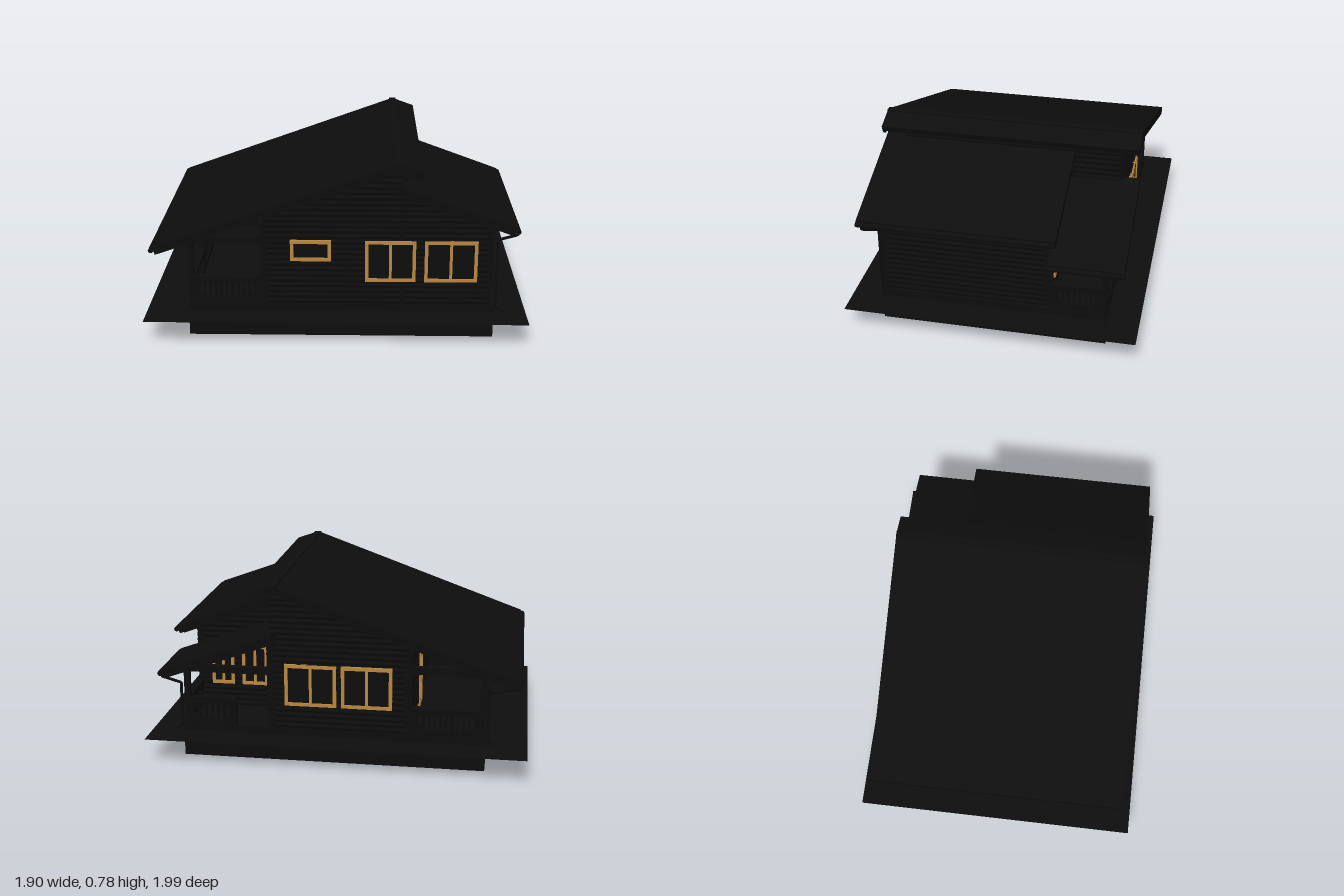
import * as THREE from 'three';

const dark = new THREE.MeshStandardMaterial({ color: 0x0d0d0d });
const ground = new THREE.MeshStandardMaterial({ color: 0x0d0d0d, side: THREE.DoubleSide });
const wood = new THREE.MeshStandardMaterial({ color: 0xb8863f });

const DECK = 0.145;

function add(parent, name, geo, mat, x = 0, y = 0, z = 0) {
  const m = new THREE.Mesh(geo, mat);
  m.name = name;
  m.position.set(x, y, z);
  parent.add(m);
  return m;
}
function box(parent, name, w, h, d, x, y, z, mat = dark) {
  return add(parent, name, new THREE.BoxGeometry(w, h, d), mat, x, y, z);
}

// A vertical plane to draw on: facing 'x' means it lies at x = pos and its local x runs along z
function plane(parent, name, facing, pos) {
  const g = new THREE.Group();
  g.name = name;
  if (facing === 'x') { g.position.x = pos; g.rotation.y = -Math.PI / 2; } else g.position.z = pos;
  parent.add(g);
  return g;
}

// Range of a convex-ish outline at height y
function span(poly, y) {
  const hits = [];
  poly.forEach(([a, ya], i) => {
    const [b, yb] = poly[(i + 1) % poly.length];
    if ((ya - y) * (yb - y) < 0) hits.push(a + (b - a) * (y - ya) / (yb - ya));
  });
  return [Math.min(...hits), Math.max(...hits)];
}

// Log wall: thin core plus stacked round courses with crossing ends
function logWall(parent, name, facing, pos, poly) {
  const g = plane(parent, name, facing, pos);
  const core = new THREE.ExtrudeGeometry(new THREE.Shape(poly.map(p => new THREE.Vector2(...p))), { depth: 0.018, bevelEnabled: false });
  add(g, 'wallCore', core, dark, 0, 0, -0.009);
  const top = Math.max(...poly.map(p => p[1])), pitch = 0.024;
  for (let y = DECK + pitch / 2; y < top - 0.008; y += pitch) {
    const [a, b] = span(poly, y);
    const end = y < 0.5 ? 0.014 : 0;
    if (b - a < 0.03) continue;
    const log = add(g, 'log', new THREE.CylinderGeometry(0.0135, 0.0135, b - a + 2 * end, 8), dark, (a + b) / 2, y, 0);
    log.rotation.z = Math.PI / 2;
  }
  return g;
}
const rect = (a, b, top) => [[a, DECK], [b, DECK], [b, top], [a, top]];

// Framed opening with glass and upright bars
function opening(g, name, a0, a1, y0, y1, panes = 1) {
  const f = 0.014, o = new THREE.Group();
  o.name = name;
  g.add(o);
  box(o, 'glass', a1 - a0, y1 - y0, 0.034, (a0 + a1) / 2, (y0 + y1) / 2, 0);
  for (const y of [y0 + f / 2, y1 - f / 2]) box(o, 'frameRail', a1 - a0, f, 0.046, (a0 + a1) / 2, y, 0, wood);
  for (const a of [a0 + f / 2, a1 - f / 2]) box(o, 'frameStile', f, y1 - y0, 0.046, a, (y0 + y1) / 2, 0, wood);
  for (let i = 1; i < panes; i++) box(o, 'mullion', 0.012, y1 - y0, 0.042, a0 + (a1 - a0) * i / panes, (y0 + y1) / 2, 0, wood);
  return o;
}

// Railing panel with an eight-sided cut-out filled by balusters
function railing(parent, name, facing, pos, a0, a1) {
  const g = plane(parent, name, facing, pos);
  const s = new THREE.Shape(rect(a0, a1, 0.26).map(p => new THREE.Vector2(...p)));
  const l = a0 + 0.03, r = a1 - 0.03, b = 0.17, t = 0.235, c = 0.018;
  s.holes.push(new THREE.Path([[l + c, b], [l, b + c], [l, t - c], [l + c, t], [r - c, t], [r, t - c], [r, b + c], [r - c, b]]
    .map(p => new THREE.Vector2(...p))));
  add(g, 'railPanel', new THREE.ExtrudeGeometry(s, { depth: 0.02, bevelEnabled: false }), dark, 0, 0, -0.01);
  box(g, 'handrail', a1 - a0, 0.014, 0.032, (a0 + a1) / 2, 0.256, 0);
  const n = Math.round((r - l) / 0.024);
  for (let i = 1; i < n; i++) box(g, 'baluster', 0.009, t - b, 0.008, l + (r - l) * i / n, (b + t) / 2, 0);
}

// Sloping roof from its top line, with rafters, barge boards and a fascia on the eave
function roof(parent, name, x0, x1, z0, y0, z1, y1, rafters = true) {
  const g = new THREE.Group();
  g.name = name;
  const len = Math.hypot(z1 - z0, y1 - y0), w = x1 - x0, th = 0.018;
  g.position.set((x0 + x1) / 2, (y0 + y1) / 2, (z0 + z1) / 2);
  g.rotation.x = -Math.atan2(y1 - y0, z1 - z0);
  parent.add(g);
  box(g, 'roofSheet', w, th, len, 0, -th / 2, 0);
  for (const s of [-1, 1]) box(g, 'bargeBoard', 0.014, 0.034, len, s * (w / 2 - 0.007), -0.018, 0);
  box(g, 'fascia', w, 0.026, 0.01, 0, -0.013, (y1 < y0 ? 1 : -1) * (len / 2 - 0.005));
  const n = rafters ? Math.round(w / 0.08) : 0;
  for (let i = 0; i <= n; i++) box(g, 'rafter', 0.018, 0.026, len - 0.02, (i / (n || 1) - 0.5) * (w - 0.06), -th - 0.011, 0);
}

function gutter(parent, x0, x1, y, z) {
  const m = add(parent, 'gutter', new THREE.CylinderGeometry(0.011, 0.011, x1 - x0, 8), dark, (x0 + x1) / 2, y, z);
  m.rotation.z = Math.PI / 2;
}
// Downpipe from the eave back to the corner, then down to a kicked-out foot
function downpipe(parent, x, y, zEave, zWall) {
  const s = Math.sign(zEave);
  const xe = x + Math.sign(x) * 0.045;
  const pts = [[xe, y, zEave], [xe, y - 0.02, zEave], [x, y - 0.06, zWall], [x, y - 0.08, zWall], [x, 0.15, zWall], [x, 0.135, zWall], [x, 0.12, zWall + s * 0.035]];
  const curve = new THREE.CatmullRomCurve3(pts.map(p => new THREE.Vector3(...p)), false, 'catmullrom', 0.1);
  add(parent, 'downpipe', new THREE.TubeGeometry(curve, 48, 0.006, 6), dark);
}

export function createModel() {
  const model = new THREE.Group();
  model.name = 'logHouse';
  const house = new THREE.Group();
  house.name = 'house';
  house.rotation.y = THREE.MathUtils.degToRad(35);
  model.add(house);

  // Plot and foundation
  add(house, 'plot', new THREE.PlaneGeometry(1.207, 1.587).rotateX(-Math.PI / 2), ground, 0, 0.113, 0);
  box(house, 'foundation', 0.946, DECK, 1.28, -0.004, DECK / 2, 0.02);

  // Log walls
  const leftSide = logWall(house, 'longSideWall', 'x', -0.463,
    [[-0.3, DECK], [0.64, DECK], [0.64, 0.522], [0.27, 0.655], [0.27, 0.735], [0.24, 0.755], [-0.3, 0.555]]);
  const rightSide = logWall(house, 'shortSideWall', 'x', 0.457,
    [[-0.3, DECK], [0.28, DECK], [0.28, 0.735], [0.24, 0.755], [-0.3, 0.555]]);
  logWall(house, 'frontWall', 'z', 0.64, rect(-0.463, 0.225, 0.52));
  const porchSide = logWall(house, 'porchSideWall', 'x', 0.222, [[0.28, DECK], [0.64, DECK], [0.64, 0.52], [0.28, 0.65]]);
  const porchWall = logWall(house, 'porchAndClerestoryWall', 'z', 0.275, rect(-0.463, 0.457, 0.735));
  const backWall = logWall(house, 'backWall', 'z', -0.3, rect(-0.463, 0.457, 0.552));

  // Windows and doors
  opening(leftSide, 'smallWindow', -0.19, -0.02, 0.34, 0.43);
  opening(leftSide, 'window', 0.12, 0.33, 0.25, 0.43, 2);
  opening(leftSide, 'window', 0.366, 0.585, 0.25, 0.43, 2);
  opening(rightSide, 'window', 0.0, 0.218, 0.25, 0.43, 2);
  opening(rightSide, 'window', -0.233, -0.02, 0.25, 0.43, 2);
  opening(porchSide, 'porchWindow', 0.34, 0.455, 0.25, 0.43, 2);
  opening(porchSide, 'porchWindow', 0.49, 0.59, 0.25, 0.43, 2);
  const door = opening(porchWall, 'frontDoor', 0.25, 0.4, DECK, 0.43);
  box(door, 'doorLeaf', 0.06, 0.26, 0.04, 0.3, 0.285, 0, wood);
  opening(backWall, 'verandaDoor', 0.04, 0.16, DECK + 0.005, 0.43, 2);

  // Roofs: long back slope, short front slope, and two stepped front roofs
  roof(house, 'backRoof', -0.545, 0.54, -0.75, 0.42, 0.25, 0.78);
  roof(house, 'upperFrontRoof', -0.545, 0.54, 0.25, 0.78, 0.35, 0.744, false);
  roof(house, 'lowerFrontRoof', -0.545, 0.266, 0.262, 0.685, 0.735, 0.512);
  roof(house, 'porchRoof', 0.23, 0.54, 0.262, 0.568, 0.73, 0.4);
  box(house, 'ridgeCap', 1.085, 0.008, 0.03, -0.0025, 0.777, 0.25);

  // Veranda and porch posts with their beams
  for (const x of [-0.46, -0.14, 0.21, 0.457]) box(house, 'verandaPost', 0.022, 0.28, 0.022, x, 0.28, -0.605);
  box(house, 'verandaBeam', 1.0, 0.03, 0.026, -0.002, 0.425, -0.605);
  for (const x of [-0.463, 0.457]) box(house, 'verandaSideBeam', 0.026, 0.03, 0.32, x, 0.425, -0.455);
  box(house, 'porchPost', 0.024, 0.25, 0.024, 0.457, 0.27, 0.64);
  box(house, 'porchBeam', 0.28, 0.028, 0.026, 0.35, 0.392, 0.64);
  box(house, 'porchSideBeam', 0.026, 0.028, 0.38, 0.457, 0.392, 0.46);

  // Railings
  railing(house, 'verandaRailing', 'z', -0.605, -0.46, -0.14);
  railing(house, 'verandaRailing', 'z', -0.605, -0.14, 0.21);
  for (const x of [-0.463, 0.457]) railing(house, 'verandaSideRailing', 'x', x, -0.605, -0.31);
  railing(house, 'porchRailing', 'z', 0.645, 0.23, 0.457);
  railing(house, 'porchSideRailing', 'x', 0.457, 0.43, 0.645);

  // Rainwater goods
  gutter(house, -0.545, 0.54, 0.405, -0.755);
  gutter(house, -0.545, 0.266, 0.497, 0.738);
  gutter(house, 0.23, 0.54, 0.386, 0.733);
  downpipe(house, -0.475, 0.497, 0.738, 0.665);
  downpipe(house, 0.468, 0.386, 0.733, 0.665);
  downpipe(house, 0.468, 0.405, -0.755, -0.63);

  return model;
}
